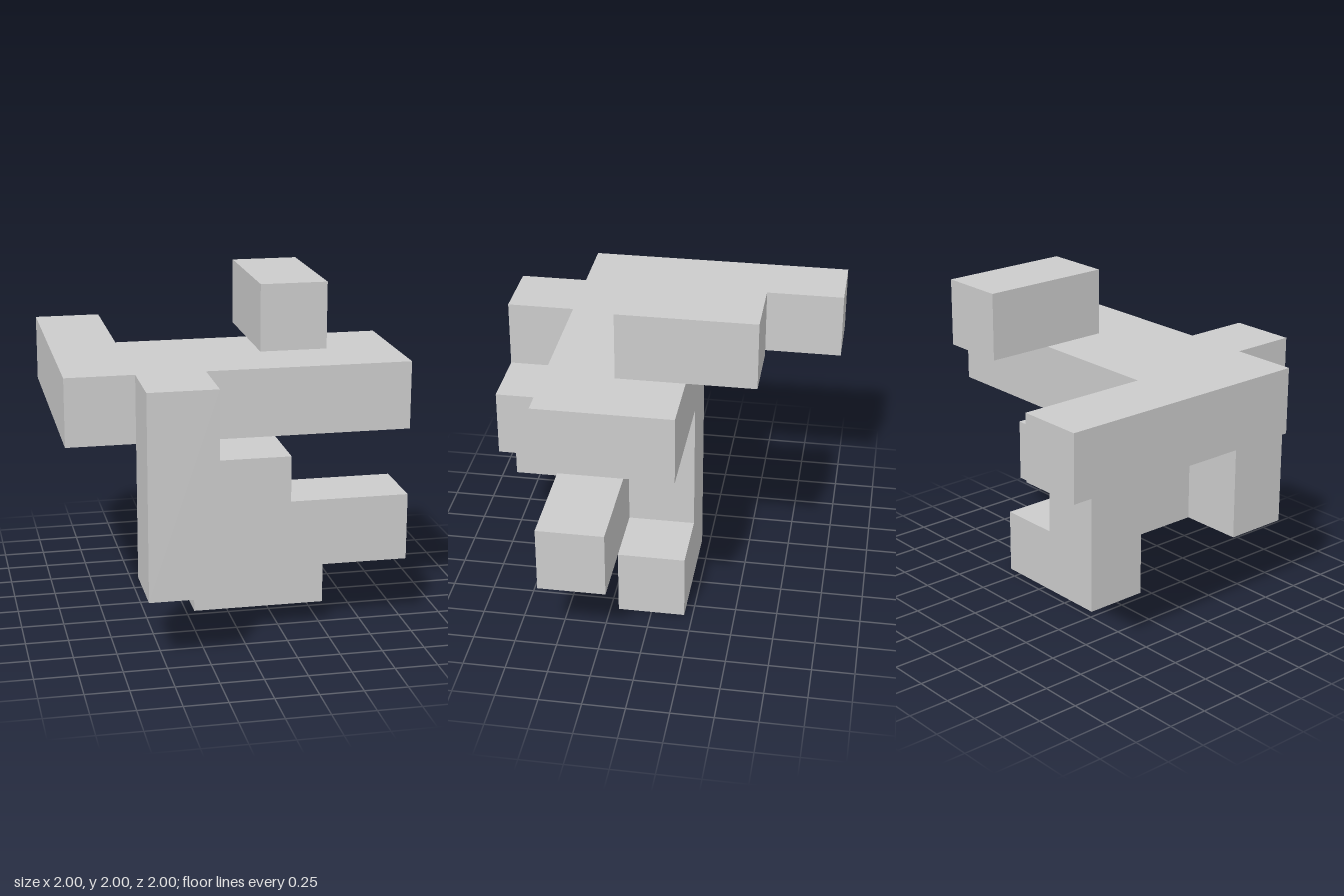
import * as THREE from 'three';

const CELL = 0.4; // the model is laid out on a 5 x 5 x 5 grid of cubes

// Each bar: name, first cell [x, y, z], size in cells [x, y, z]
const BARS = [
  ['foot', [2, 0, 2], [2, 1, 1]],
  ['spine', [2, 1, 2], [1, 1, 1]],
  ['lowerSideArm', [2, 1, 3], [3, 1, 1]],
  ['middleBeam', [2, 2, 2], [1, 1, 3]],
  ['frontPost', [1, 1, 4], [1, 3, 1]],
  ['upperSlab', [0, 3, 2], [5, 1, 2]],
  ['rearArm', [0, 3, 0], [1, 1, 2]],
  ['topBar', [3, 4, 1], [1, 1, 2]],
];

export function createModel() {
  const group = new THREE.Group();
  group.name = 'interlockingBlock';
  const material = new THREE.MeshStandardMaterial({ color: 0xcccccc, flatShading: true });

  for (const [name, start, size] of BARS) {
    const mesh = new THREE.Mesh(new THREE.BoxGeometry(...size.map((n) => n * CELL)), material);
    const [x, y, z] = start.map((s, i) => (s + size[i] / 2) * CELL);
    mesh.position.set(x - 1, y, z - 1);
    mesh.name = name;
    group.add(mesh);
  }
  return group;
}
